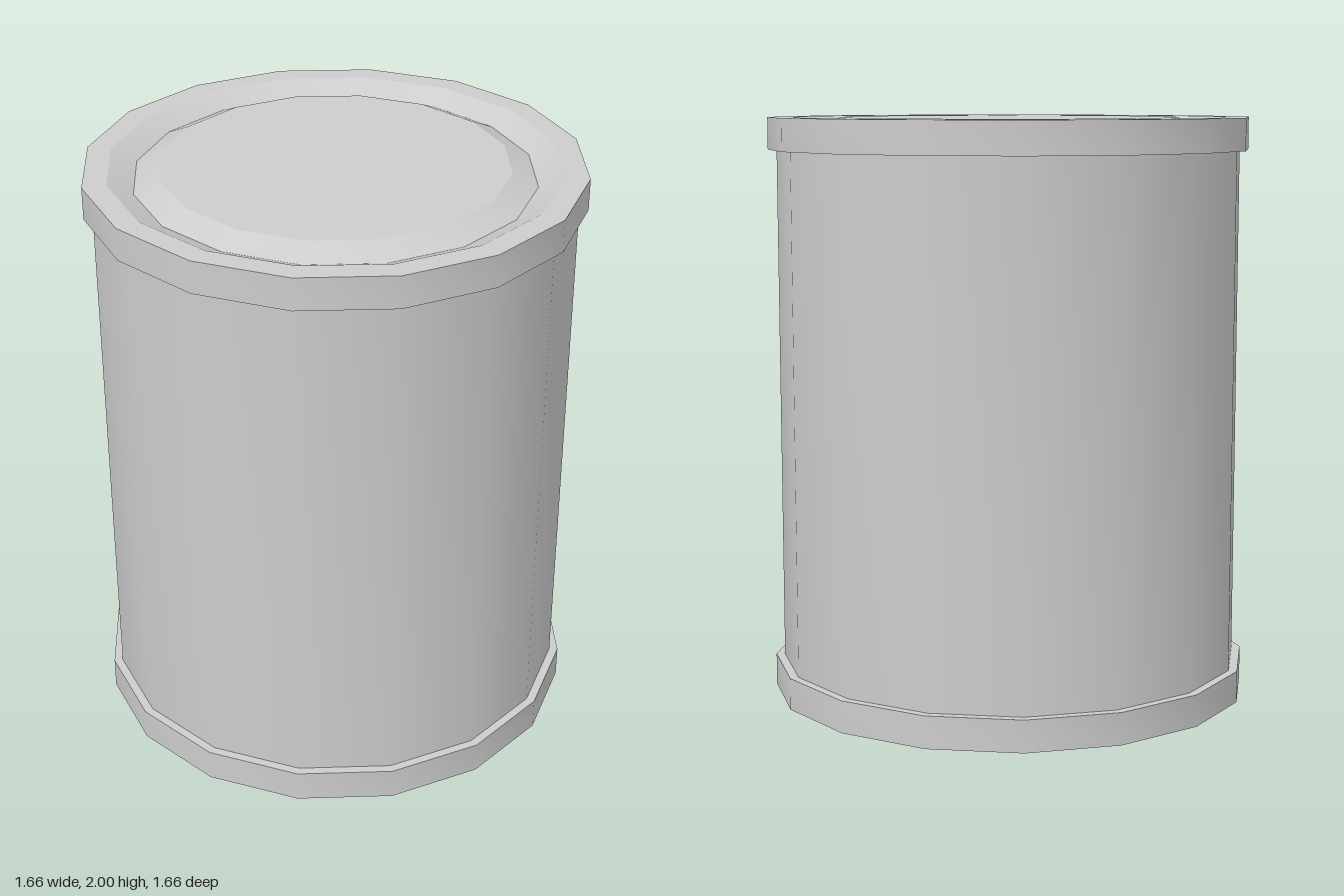
import * as THREE from 'three';
import { toCreasedNormals } from 'three/addons/utils/BufferGeometryUtils.js';

const SIDES = 16;
const RIM = 0.83, BODY = 0.8, RIM_HEIGHT = 0.11, HEIGHT = 2;

export function createModel() {
  const can = new THREE.Group();
  can.name = 'can';
  const metal = new THREE.MeshStandardMaterial({ color: 0xcccccc });
  metal.name = 'bare metal';

  // Turned part: smooth around the axis, sharp between profile bands
  const turned = (name, profile) => {
    const points = profile.map(([r, y]) => new THREE.Vector2(r, y));
    const geometry = toCreasedNormals(new THREE.LatheGeometry(points, SIDES), 0.42);
    const mesh = new THREE.Mesh(geometry, metal);
    mesh.name = name;
    can.add(mesh);
  };

  // Closed base with its protruding rim
  turned('bottomRim', [[0, 0], [RIM, 0], [RIM, RIM_HEIGHT], [BODY, RIM_HEIGHT]]);

  // Straight wall
  turned('body', [[BODY, RIM_HEIGHT], [BODY, HEIGHT - RIM_HEIGHT]]);

  // Upper rim, from its underside to the flat lip
  turned('topRim', [[BODY, HEIGHT - RIM_HEIGHT], [RIM, HEIGHT - RIM_HEIGHT], [RIM, HEIGHT], [0.75, HEIGHT]]);

  // Lid with a V-shaped groove around a flat disc
  turned('lid', [[0.75, HEIGHT], [0.665, HEIGHT - 0.04], [0.58, HEIGHT], [0, HEIGHT]]);

  return can;
}
